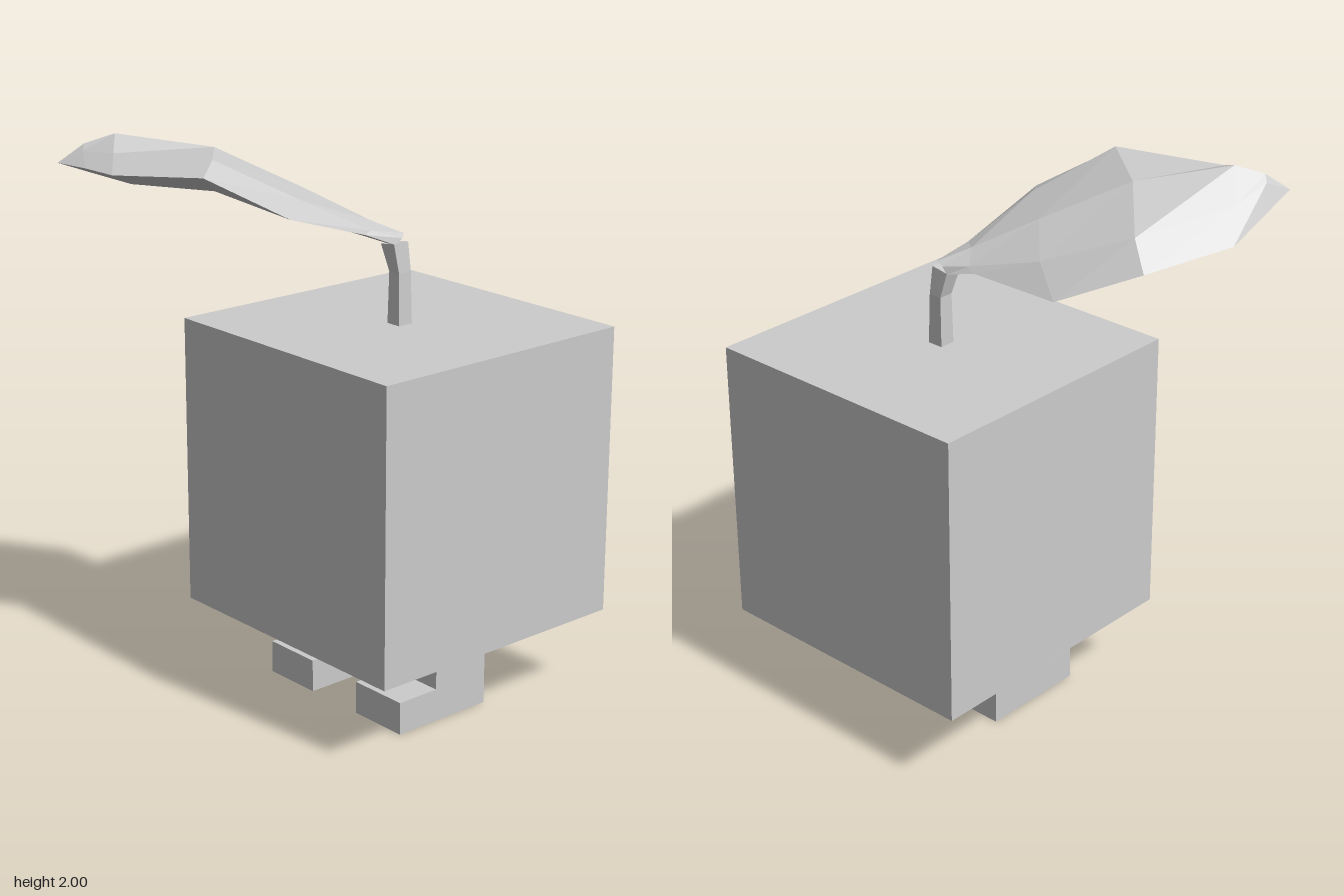
import * as THREE from 'three';

const material = new THREE.MeshStandardMaterial({ color: 0xcccccc, flatShading: true });

function addMesh(parent, name, geometry) {
  const mesh = new THREE.Mesh(geometry, material);
  mesh.name = name;
  parent.add(mesh);
  return mesh;
}

// Skin over rings of equal point count, closed by a fan at each end
function loft(rings, tip) {
  const n = rings[0].length;
  const centre = (ring) => [0, 1, 2].map((k) => ring.reduce((s, p) => s + p[k], 0) / n);
  const points = [...rings.flat(), centre(rings[0]), tip ?? centre(rings.at(-1))];
  const start = rings.length * n, end = start + 1, last = start - n;
  const index = [];
  for (let j = 0; j < n; j++) {
    const k = (j + 1) % n;
    index.push(start, j, k, end, last + k, last + j);
    for (let a = 0; a < last; a += n) {
      index.push(a + j, a + n + j, a + n + k, a + j, a + n + k, a + k);
    }
  }
  const geometry = new THREE.BufferGeometry();
  geometry.setAttribute('position', new THREE.Float32BufferAttribute(points.flat(), 3));
  geometry.setIndex(index);
  const flat = geometry.toNonIndexed();
  flat.computeVertexNormals();
  return flat;
}

// Horizontal rectangle ring for the stem
const square = (x0, x1, z0, z1, yLeft, yRight = yLeft) => [
  [x0, yLeft, z0], [x1, yRight, z0], [x1, yRight, z1], [x0, yLeft, z1],
];

export function createModel() {
  const model = new THREE.Group();
  model.name = 'sproutCube';

  // Cube body
  addMesh(model, 'body', new THREE.BoxGeometry(1.056, 1.056, 1.056)).position.set(0.148, 0.828, -0.153);

  // Legs with forward feet: an L profile (z, y) extruded across x
  const profile = new THREE.Shape([
    [-0.265, 0], [0.14, 0], [0.14, 0.12], [-0.03, 0.12], [-0.03, 0.3], [-0.265, 0.3],
  ].map(([z, y]) => new THREE.Vector2(z, y)));
  const legGeometry = new THREE.ExtrudeGeometry(profile, { depth: 0.23, bevelEnabled: false });
  legGeometry.rotateY(-Math.PI / 2);
  for (const [name, x] of [['rightLeg', 0.03], ['leftLeg', 0.497]]) {
    addMesh(model, name, legGeometry).position.x = x;
  }

  // Bent stem
  addMesh(model, 'stem', loft([
    square(0.13, 0.19, -0.18, -0.12, 1.35),
    square(0.132, 0.182, -0.18, -0.125, 1.54),
    square(0.105, 0.172, -0.175, -0.11, 1.635, 1.645),
  ]));

  // Leaf sections: right rim, right fold, ridge, left fold, left rim, underside
  addMesh(model, 'leaf', loft([
    [[0.10, 1.635, -0.18], [0.12, 1.66, -0.18], [0.15, 1.67, -0.175],
      [0.17, 1.66, -0.15], [0.172, 1.64, -0.12], [0.14, 1.63, -0.14]],
    [[0, 1.66, -0.155], [0.03, 1.675, -0.145], [0.07, 1.715, -0.09],
      [0.14, 1.70, -0.03], [0.15, 1.69, 0], [0.07, 1.66, -0.07]],
    [[-0.33, 1.645, -0.125], [-0.22, 1.74, -0.07], [-0.10, 1.82, 0.06],
      [0.07, 1.83, 0.22], [0.155, 1.795, 0.335], [-0.10, 1.72, 0.08]],
    [[-0.56, 1.75, 0.055], [-0.49, 1.85, 0.09], [-0.33, 1.955, 0.27],
      [-0.10, 1.97, 0.455], [-0.04, 1.93, 0.54], [-0.33, 1.80, 0.27]],
    [[-0.68, 1.785, 0.375], [-0.62, 1.89, 0.45], [-0.56, 2, 0.52],
      [-0.465, 1.955, 0.595], [-0.37, 1.905, 0.67], [-0.50, 1.83, 0.50]],
    [[-0.68, 1.84, 0.52], [-0.645, 1.94, 0.59], [-0.63, 1.965, 0.60],
      [-0.61, 1.945, 0.62], [-0.52, 1.905, 0.673], [-0.60, 1.865, 0.59]],
  ], [-0.68, 1.90, 0.678]));

  return model;
}
